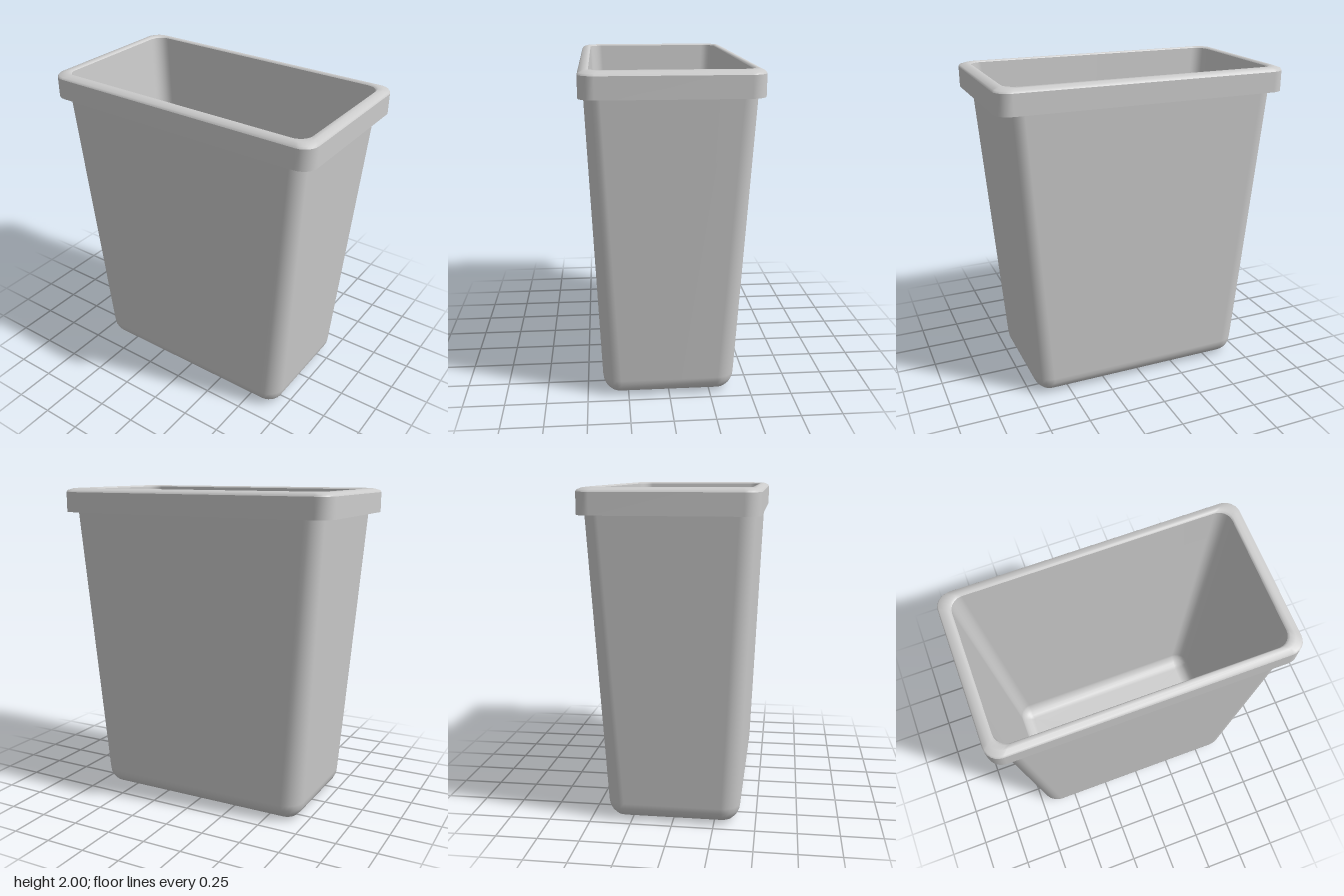
import * as THREE from 'three';

const material = new THREE.MeshStandardMaterial({ color: 0xcccccc, side: THREE.DoubleSide });
const CORNER_STEPS = 6;

// Skin a stack of rounded rectangles given as [half width, half depth, corner radius, height].
function loft(name, rings) {
  const positions = [], index = [];
  const count = 4 * (CORNER_STEPS + 1);
  for (const [hx, hz, r, y] of rings) {
    for (let q = 0; q < 4; q++) {
      const sx = q === 0 || q === 3 ? 1 : -1;
      const sz = q < 2 ? 1 : -1;
      for (let k = 0; k <= CORNER_STEPS; k++) {
        const a = (q + k / CORNER_STEPS) * Math.PI / 2;
        positions.push(sx * (hx - r) + r * Math.cos(a), y, sz * (hz - r) + r * Math.sin(a));
      }
    }
  }
  for (let j = 0; j < rings.length - 1; j++) {
    for (let i = 0; i < count; i++) {
      const a = j * count + i, b = j * count + (i + 1) % count;
      index.push(a, a + count, b, b, a + count, b + count);
    }
  }
  const geometry = new THREE.BufferGeometry();
  geometry.setAttribute('position', new THREE.Float32BufferAttribute(positions, 3));
  geometry.setIndex(index);
  geometry.computeVertexNormals();
  const mesh = new THREE.Mesh(geometry, material);
  mesh.name = name;
  return mesh;
}

// Closed tub bottom: centre point, flat floor, then a rounded edge up to the wall.
function tubBottom(hx, hz, corner, fillet, y) {
  const rings = [[0, 0, 0, y]];
  for (let k = 0; k <= 5; k++) {
    const a = k / 5 * Math.PI / 2;
    const inset = fillet * (1 - Math.sin(a));
    rings.push([hx - inset, hz - inset, Math.max(corner - inset, 0.005), y + fillet * (1 - Math.cos(a))]);
  }
  return rings;
}

export function createModel() {
  const group = new THREE.Group();
  group.name = 'wasteBin';

  // Tapered outer shell
  group.add(loft('outerShell', [
    ...tubBottom(0.405, 0.715, 0.11, 0.11, 0),
    [0.477, 0.835, 0.09, 1.85],
    [0.481, 0.843, 0.09, 1.975],
  ]));

  // Inner lining, ordered downward so that it faces the inside
  group.add(loft('innerLining', [
    ...tubBottom(0.378, 0.69, 0.09, 0.09, 0.03),
    [0.447, 0.835, 0.08, 1.99],
  ].reverse()));

  // Overhanging rim: open-bottomed skirt and gently crowned top
  const rim = new THREE.Group();
  rim.name = 'rim';
  rim.add(loft('rimSkirt', [
    [0.506, 0.905, 0.09, 1.85],
    [0.506, 0.905, 0.09, 1.975],
  ]));
  rim.add(loft('rimTop', [
    [0.506, 0.905, 0.09, 1.975],
    [0.499, 0.898, 0.085, 1.987],
    [0.475, 0.87, 0.08, 1.997],
    [0.455, 0.845, 0.08, 2],
    [0.447, 0.835, 0.08, 1.99],
  ]));
  group.add(rim);
  return group;
}
